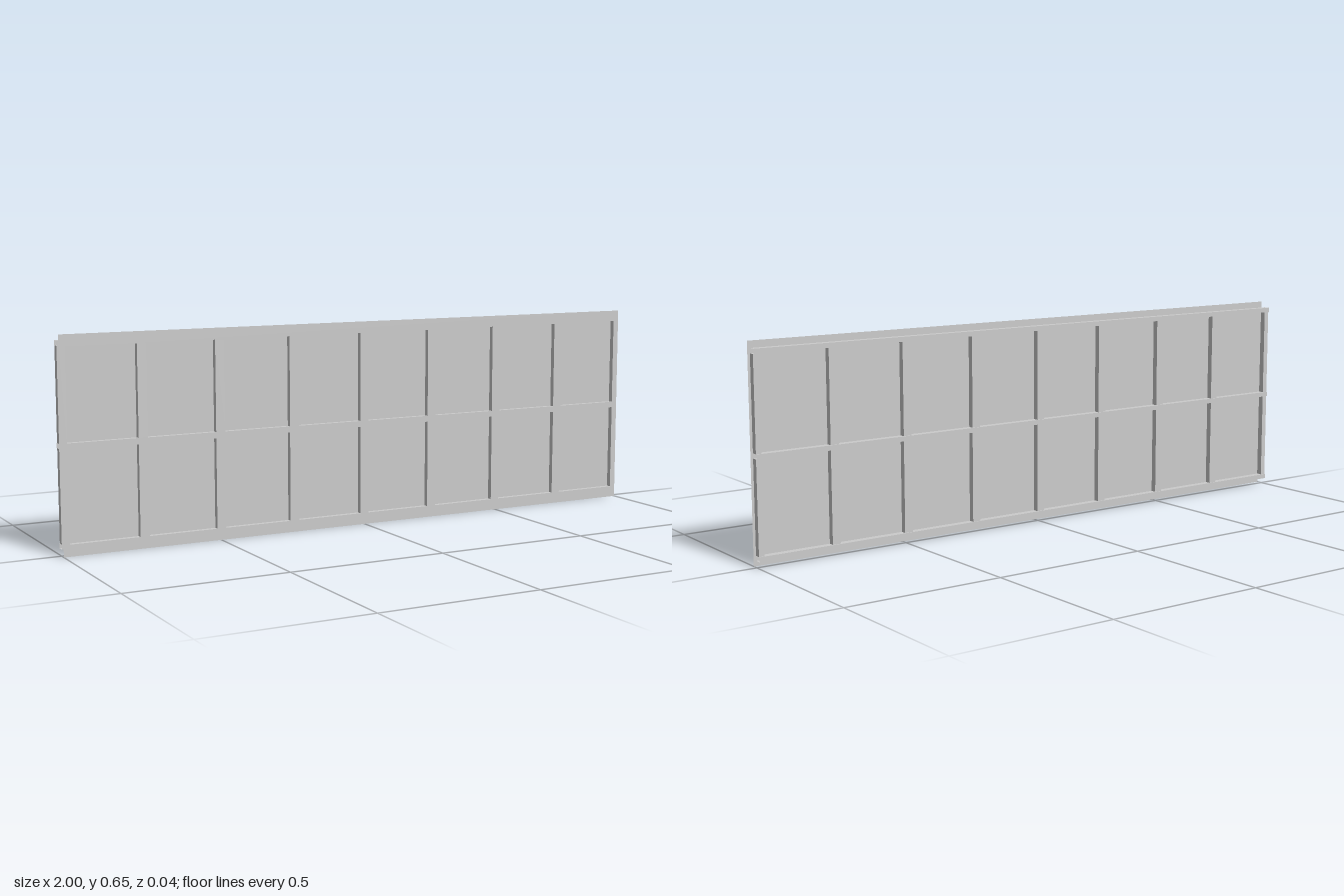
import * as THREE from 'three';

const W = 2, H = 0.652;              // overall sheet size
const FRONT = 0.0195, MID = 0.003;   // front sheet and recessed panel depth
const RAIL_BACK = -0.0195, POST_BACK = -0.0155;
const COLS = 8, PITCH = 0.249, HOLE_W = 0.219;
const ROWS = [[0.036, 0.316], [0.335, 0.616]];

const material = new THREE.MeshStandardMaterial({
  color: 0xcccccc, flatShading: true, side: THREE.DoubleSide,
});

function add(parent, name, geometry) {
  const mesh = new THREE.Mesh(geometry, material);
  mesh.name = name;
  parent.add(mesh);
  return mesh;
}

// Flat sheets facing along each axis, given by their extents
function sheetZ(parent, name, x0, x1, y0, y1, z) {
  add(parent, name, new THREE.PlaneGeometry(x1 - x0, y1 - y0))
    .position.set((x0 + x1) / 2, (y0 + y1) / 2, z);
}
function sheetY(parent, name, x0, x1, y, z0, z1) {
  add(parent, name, new THREE.PlaneGeometry(x1 - x0, z1 - z0).rotateX(-Math.PI / 2))
    .position.set((x0 + x1) / 2, y, (z0 + z1) / 2);
}
function sheetX(parent, name, x, y0, y1, z0, z1) {
  add(parent, name, new THREE.PlaneGeometry(z1 - z0, y1 - y0).rotateY(Math.PI / 2))
    .position.set(x, (y0 + y1) / 2, (z0 + z1) / 2);
}
function rectPath(PathType, x0, x1, y0, y1) {
  return new PathType([[x0, y0], [x1, y0], [x1, y1], [x0, y1]]
    .map(([x, y]) => new THREE.Vector2(x, y)));
}

export function createModel() {
  const model = new THREE.Group();
  model.name = 'windowGrid';

  // Front sheet with a grid of openings, each with a rim running back to the panes
  const front = rectPath(THREE.Shape, -W / 2, W / 2, 0, H);
  const rims = new THREE.Group();
  rims.name = 'openingRims';
  for (let c = 0; c < COLS; c++) {
    const cx = (c - (COLS - 1) / 2) * PITCH;
    const x0 = cx - HOLE_W / 2, x1 = cx + HOLE_W / 2;
    for (const [y0, y1] of ROWS) {
      front.holes.push(rectPath(THREE.Path, x0, x1, y0, y1));
      for (const x of [x0, x1]) sheetX(rims, 'rimSide', x, y0, y1, MID, FRONT);
      for (const y of [y0, y1]) sheetY(rims, 'rimLedge', x0, x1, y, MID, FRONT);
    }
  }
  add(model, 'frontFrame', new THREE.ShapeGeometry(front)).position.z = FRONT;
  model.add(rims);

  // Recessed panes as one sheet
  sheetZ(model, 'panes', -W / 2, W / 2, 0.02, 0.633, MID);

  // Open-ended horizontal rails on the back
  const rails = new THREE.Group();
  rails.name = 'backRails';
  for (const [y0, y1] of [[0.02, 0.035], [0.318, 0.333], [0.618, 0.633]]) {
    sheetZ(rails, 'railFace', -W / 2, W / 2, y0, y1, RAIL_BACK);
    for (const y of [y0, y1]) sheetY(rails, 'railFlange', -W / 2, W / 2, y, RAIL_BACK, MID);
  }
  model.add(rails);

  // Vertical posts between the rails
  const posts = new THREE.Group();
  posts.name = 'backPosts';
  for (let i = 0; i <= COLS; i++) {
    const cx = (i - COLS / 2) * PITCH;
    const x0 = i === 0 ? -W / 2 : cx - 0.0135;
    const x1 = i === COLS ? W / 2 : cx + 0.0135;
    for (const [y0, y1] of [[0.035, 0.318], [0.333, 0.618]]) {
      sheetZ(posts, 'postFace', x0, x1, y0, y1, POST_BACK);
      for (const x of [x0, x1]) sheetX(posts, 'postFlange', x, y0, y1, POST_BACK, MID);
    }
  }
  model.add(posts);
  return model;
}
